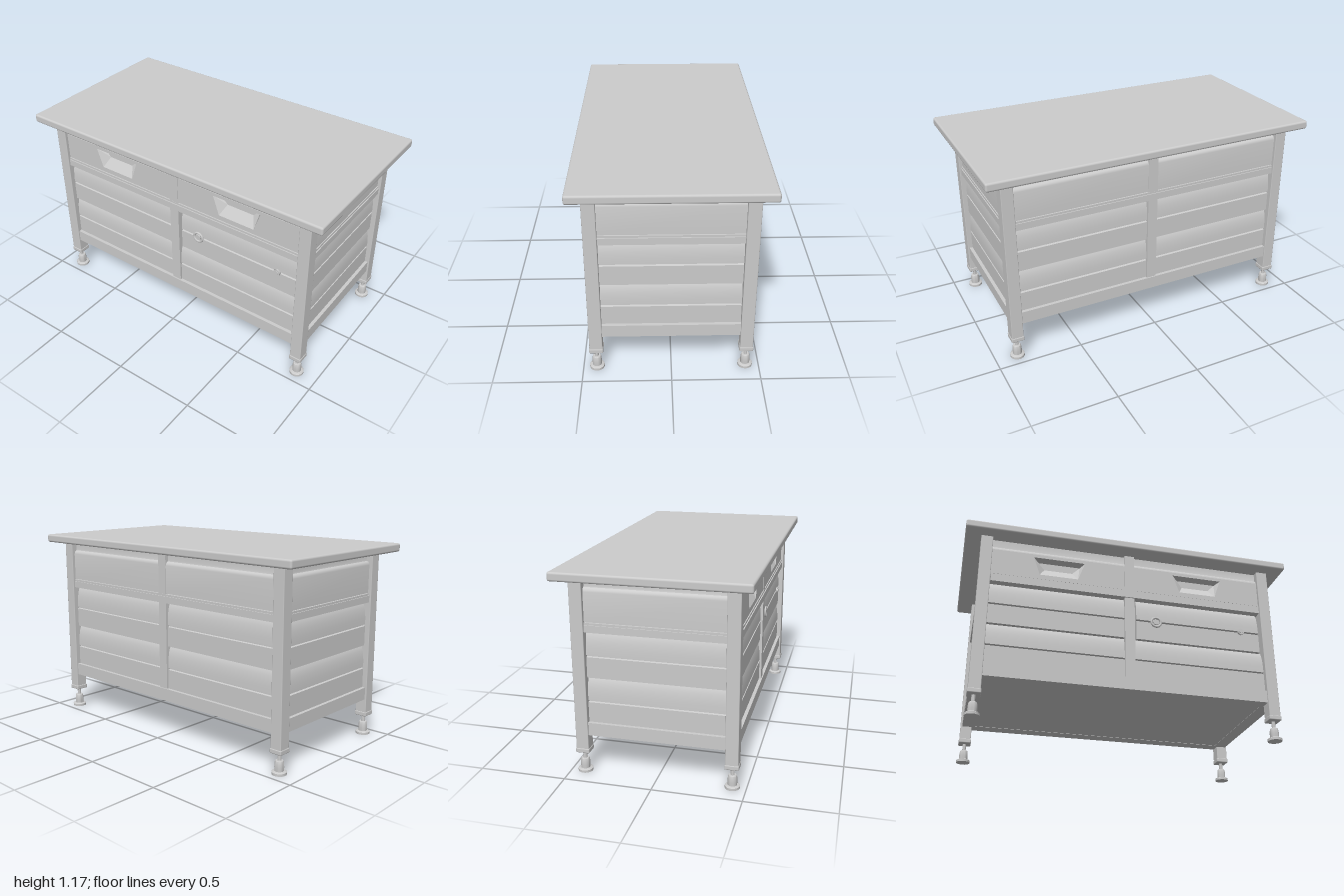
import * as THREE from 'three';
import { RoundedBoxGeometry } from 'three/addons/geometries/RoundedBoxGeometry.js';
import { toCreasedNormals } from 'three/addons/utils/BufferGeometryUtils.js';

const grey = new THREE.MeshStandardMaterial({ color: 0xcccccc, side: THREE.DoubleSide });

function add(parent, name, geometry, x = 0, y = 0, z = 0) {
  const mesh = new THREE.Mesh(geometry, grey);
  mesh.name = name;
  mesh.position.set(x, y, z);
  parent.add(mesh);
  return mesh;
}

// Box given by its lower and upper y
function slab(parent, name, w, y0, y1, d, x, z) {
  return add(parent, name, new THREE.BoxGeometry(w, y1 - y0, d), x, (y0 + y1) / 2, z);
}

// Sweep a (depth, height) profile along x, centred, outward = +z
function moulding(profile, length) {
  const shape = new THREE.Shape(profile.map(([d, y]) => new THREE.Vector2(d, y)));
  const g = new THREE.ExtrudeGeometry(shape, { depth: length, bevelEnabled: false });
  g.translate(0, 0, -length / 2).rotateY(-Math.PI / 2);
  return toCreasedNormals(g, 0.5);
}

const BACK = -0.075; // depth where panels meet the core
const FACE = -0.02;  // depth of the upper panel face

// Lap board: straight below, grooved at the middle, leaning in at the top
const boardProfile = (y) => [
  [BACK, y], [-0.03, y], [-0.03, y + 0.118], [-0.043, y + 0.121], [-0.043, y + 0.127],
  [-0.03, y + 0.13], [-0.031, y + 0.17], [-0.034, y + 0.2], [-0.039, y + 0.23],
  [-0.046, y + 0.25], [-0.053, y + 0.264], [BACK, y + 0.264],
];

// Upper panel with a rounded step towards its recessed top strip
const upperProfile = (y) => [
  [BACK, y], [FACE, y], [FACE, 1.05], [-0.022, 1.06], [-0.028, 1.068],
  [-0.036, 1.073], [-0.038, 1.08], [-0.038, 1.126], [BACK, 1.126],
];

// Scooped finger pull: four sloping walls and a back face
const pullOuter = [[-0.115, 0.915], [0.115, 0.915], [0.155, 1.03], [-0.155, 1.03]];
const pullInner = [[-0.085, 0.975], [0.085, 0.975], [0.13, 1.02], [-0.13, 1.02]];

function pullGeometry() {
  const o = pullOuter.map(([x, y]) => [x, y, FACE]);
  const n = pullInner.map(([x, y]) => [x, y, -0.062]);
  const pos = [];
  const quad = (a, b, c, d) => pos.push(...a, ...b, ...c, ...a, ...c, ...d);
  for (let i = 0; i < 4; i++) {
    const j = (i + 1) % 4;
    quad(o[i], o[j], n[j], n[i]);
  }
  quad(...n);
  const g = new THREE.BufferGeometry();
  g.setAttribute('position', new THREE.Float32BufferAttribute(pos, 3));
  g.computeVertexNormals();
  return g;
}

function drawer(parent, x, length) {
  const h = length / 2;
  const points = (list) => list.map(([px, py]) => new THREE.Vector2(px, py));
  const shape = new THREE.Shape(points([[-h, 0.885], [h, 0.885], [h, 1.05], [-h, 1.05]]));
  shape.holes.push(new THREE.Path(points(pullOuter)));
  const front = new THREE.ExtrudeGeometry(shape, { depth: 0.01, bevelEnabled: false });
  add(parent, 'drawerFront', front.translate(0, 0, FACE - 0.01), x);
  add(parent, 'drawerTop', moulding(upperProfile(1.05), length), x);
  add(parent, 'drawerPull', pullGeometry(), x);
}

// One side of the cabinet, seen along -z with the leg faces at z = 0
function wall(name, width, split, isFront) {
  const g = new THREE.Group();
  g.name = name;
  slab(g, 'baseRail', width, 0.23, 0.305, 0.08, 0, -0.05);
  slab(g, 'middleRail', width - 0.005, 0.83, 0.87, 0.07, 0, -0.045);
  slab(g, 'middleRailLedge', width, 0.868, 0.882, 0.06, 0, -0.046);
  if (split) slab(g, 'centrePost', 0.06, 0.305, 1.125, 0.06, 0, -0.047);
  const length = split ? width / 2 - 0.03 : width;
  for (const x of split ? [-1, 1].map((s) => s * (width / 4 + 0.015)) : [0]) {
    const door = isFront && x > 0;
    add(g, 'lowerBoard', moulding(boardProfile(0.303), length), x);
    add(g, door ? 'door' : 'upperBoard', moulding(boardProfile(0.566), length - (door ? 0.025 : 0)), x);
    if (isFront) drawer(g, x, length);
    else add(g, 'topPanel', moulding(upperProfile(0.885), length), x);
  }
  return g;
}

// Post with collar and a turned levelling foot
function leg(x, z) {
  const g = new THREE.Group();
  g.name = 'leg';
  g.position.set(x, 0, z);
  add(g, 'legPost', new RoundedBoxGeometry(0.07, 0.99, 0.073, 1, 0.004), 0, 0.633, 0);
  add(g, 'legCollar', new RoundedBoxGeometry(0.077, 0.028, 0.08, 1, 0.006), 0, 0.135, 0);
  const profile = [[0, 0], [0.042, 0], [0.042, 0.014], [0.036, 0.018], [0.026, 0.019], [0.026, 0.025],
    [0.027, 0.04], [0.026, 0.06], [0.023, 0.076], [0.02, 0.079], [0.011, 0.079], [0.011, 0.13]];
  const foot = new THREE.LatheGeometry(profile.map(([r, y]) => new THREE.Vector2(r, y)), 24);
  add(g, 'foot', toCreasedNormals(foot, 0.6));
  return g;
}

export function createModel() {
  const model = new THREE.Group();
  model.name = 'cabinet';

  add(model, 'tableTop', new RoundedBoxGeometry(2, 0.05, 1.065, 2, 0.012), 0, 1.15, 0);
  slab(model, 'cabinetCore', 1.68, 0.232, 1.125, 0.78, 0, 0);

  // Legs
  for (const x of [-0.87, 0.87]) for (const z of [-0.4225, 0.4225]) model.add(leg(x, z));

  // Four walls turned around the core
  const sides = [['frontWall', 1.67, true, 0.46], ['leftWall', 0.775, false, 0.905],
    ['backWall', 1.67, true, 0.46], ['rightWall', 0.775, false, 0.905]];
  sides.forEach(([name, width, split, dist], i) => {
    const w = wall(name, width, split, i === 0);
    w.rotation.y = i * Math.PI / 2;
    w.position.set(Math.sin(w.rotation.y) * dist, 0, Math.cos(w.rotation.y) * dist);
    model.add(w);
  });

  // Door knob with its ring, and a small hexagonal catch
  const disc = (r, depth, sides) => new THREE.CylinderGeometry(r, r, depth, sides).rotateX(Math.PI / 2);
  add(model, 'knobRing', new THREE.TorusGeometry(0.029, 0.007, 10, 32), 0.165, 0.69, 0.432);
  add(model, 'knobCentre', disc(0.018, 0.02, 24), 0.165, 0.69, 0.428);
  add(model, 'catchNut', disc(0.021, 0.016, 6), 0.705, 0.69, 0.433);
  add(model, 'catchPin', disc(0.011, 0.02, 16), 0.705, 0.69, 0.435);

  return model;
}
